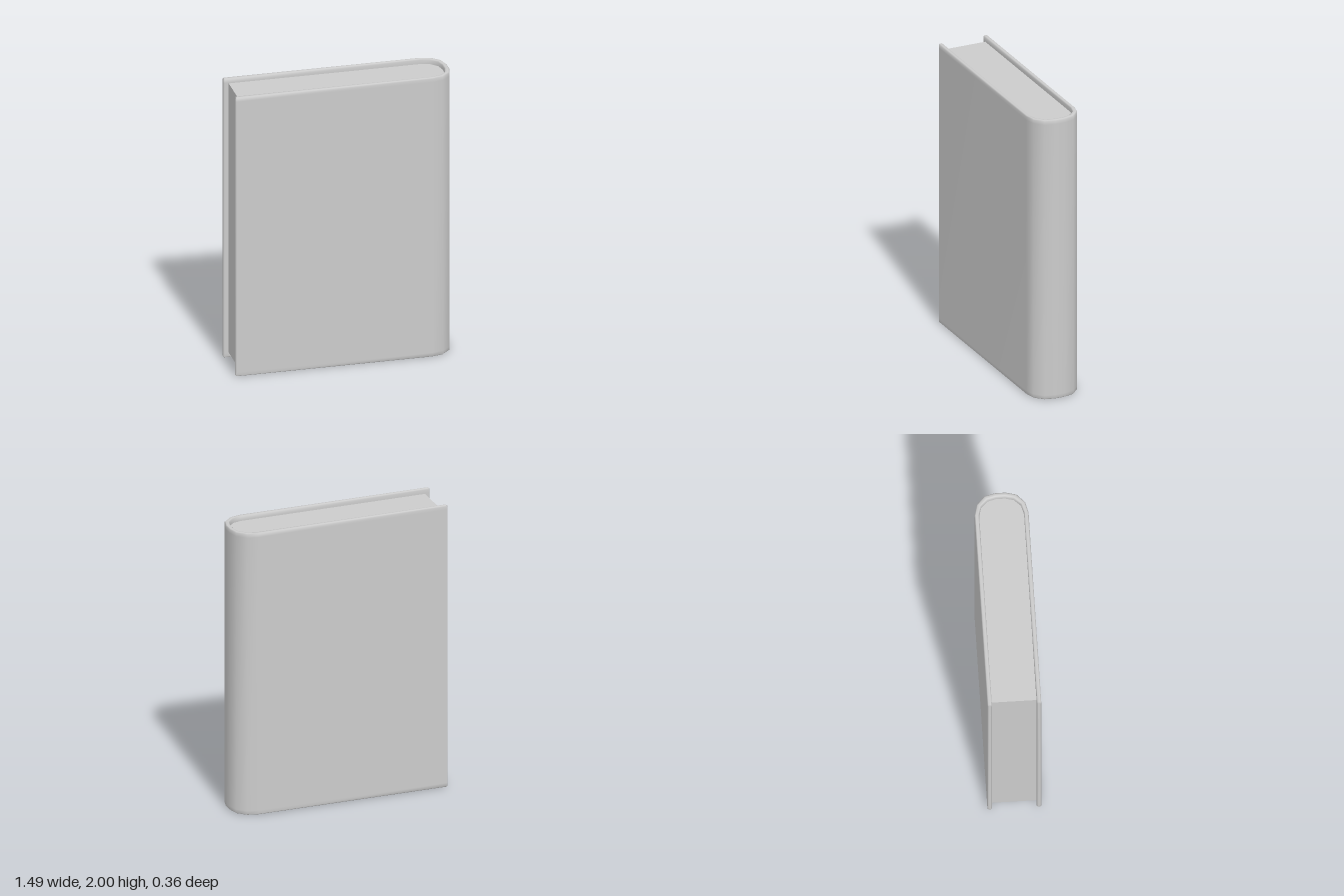
import * as THREE from 'three';

const HEIGHT = 2, WALL = 0.03, BEVEL = 0.007, RECESS = 0.035;
const EDGE = -0.745;

// Half of the U-shaped plan, from the fore edge to the spine: [x, z] outside and inside
const outerHalf = [[EDGE, 0.178], [EDGE + BEVEL, 0.178], [0.595, 0.178], [0.67, 0.16], [0.727, 0.106], [0.745, 0.034]];
const innerHalf = [[EDGE, 0.148], [EDGE + BEVEL, 0.148], [0.595, 0.148], [0.655, 0.132], [0.699, 0.086], [0.713, 0.03]];
const mirrorHalf = (half) => [...half, ...half.map(([x, z]) => [x, -z]).reverse()];
const outer = mirrorHalf(outerHalf), inner = mirrorHalf(innerHalf);

// Point between the outer (t = 0) and inner (t = 1) outline
const between = (i, t) => outer[i].map((v, k) => v + (inner[i][k] - v) * t);

// Bent cover: a bevelled wall section swept around the plan
function coverGeometry() {
  const b = BEVEL / WALL;
  const bottom = [[0, 0.03], [0, BEVEL], [b, 0], [1 - b, 0], [1, BEVEL], [1, 0.03]];
  const section = [...bottom, ...bottom.map(([t, y]) => [t, HEIGHT - y]).reverse()];
  const n = section.length, rings = outer.length;
  const positions = [], index = [];
  for (let i = 0; i < rings; i++) {
    const isEnd = i === 0 || i === rings - 1;
    for (const [t, y] of section) {
      // the end rings shrink to bevel the fore edges
      const [x, z] = between(i, isEnd ? THREE.MathUtils.clamp(t, b, 1 - b) : t);
      positions.push(x, isEnd ? THREE.MathUtils.clamp(y, BEVEL, HEIGHT - BEVEL) : y, z);
    }
  }
  for (let i = 0; i < rings - 1; i++) {
    for (let j = 0; j < n; j++) {
      const a = i * n + j, c = i * n + (j + 1) % n;
      index.push(a, c, a + n, c, c + n, a + n);
    }
  }
  // fore edge caps
  const last = (rings - 1) * n;
  for (let j = 1; j < n - 1; j++) {
    index.push(0, j + 1, j, last, last + j, last + j + 1);
  }
  const geometry = new THREE.BufferGeometry();
  geometry.setAttribute('position', new THREE.Float32BufferAttribute(positions, 3));
  geometry.setIndex(index);
  geometry.computeVertexNormals();
  return geometry;
}

// Page block: fills the inside of the cover, set back at top, bottom and fore edge
function pagesGeometry() {
  const outline = outer.map((_, i) => {
    const [x, z] = between(i, 0.9);
    return new THREE.Vector2(Math.max(x, EDGE + RECESS), -z);
  }).filter((p, i) => i !== 0 && i !== outer.length - 1);
  const geometry = new THREE.ExtrudeGeometry(new THREE.Shape(outline), {
    depth: HEIGHT - 2 * RECESS, bevelEnabled: false,
  });
  return geometry.rotateX(-Math.PI / 2).translate(0, RECESS, 0);
}

export function createModel() {
  const group = new THREE.Group();
  group.name = 'book';
  const material = new THREE.MeshStandardMaterial({ color: 0xcccccc });
  const parts = { cover: coverGeometry(), pages: pagesGeometry() };
  for (const [name, geometry] of Object.entries(parts)) {
    const mesh = new THREE.Mesh(geometry, material);
    mesh.name = name;
    group.add(mesh);
  }
  return group;
}
